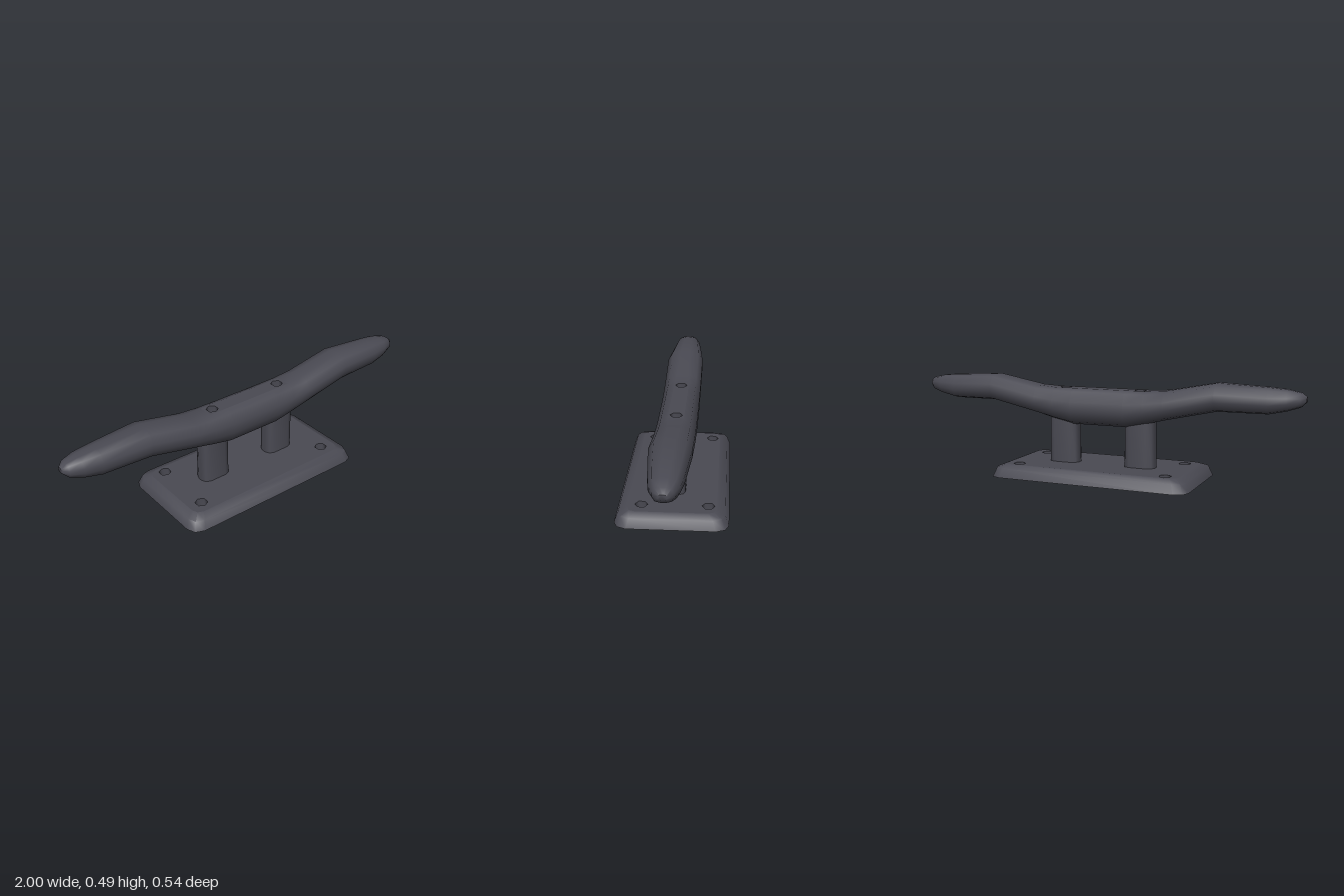
import * as THREE from 'three';
import { toCreasedNormals } from 'three/addons/utils/BufferGeometryUtils.js';

// Skin over closed rings of points; skip(i, j) leaves a quad open
function loft(rings, { closeEnds = false, skip = () => false, crease = 0.6 } = {}) {
  const n = rings[0].length;
  const index = [];
  for (let i = 0; i < rings.length - 1; i++) {
    for (let j = 0; j < n; j++) {
      if (skip(i, j)) continue;
      const k = (j + 1) % n;
      const a = i * n + j, b = i * n + k, c = a + n, d = b + n;
      index.push(a, b, c, b, d, c);
    }
  }
  if (closeEnds) {
    const last = (rings.length - 1) * n;
    for (let j = 1; j < n - 1; j++) {
      index.push(0, j + 1, j, last, last + j, last + j + 1);
    }
  }
  const geometry = new THREE.BufferGeometry();
  geometry.setAttribute('position', new THREE.Float32BufferAttribute(rings.flat(2), 3));
  geometry.setIndex(index);
  return toCreasedNormals(geometry, crease);
}

// Horizontal rounded rectangle, anticlockwise seen from above
function roundedRing(halfX, halfZ, radius, y, steps = 2) {
  const points = [];
  [[1, 1], [1, -1], [-1, -1], [-1, 1]].forEach(([sx, sz], corner) => {
    for (let s = 0; s <= steps; s++) {
      const t = (corner + s / steps) * Math.PI / 2;
      points.push([sx * (halfX - radius) + radius * Math.sin(t), y, sz * (halfZ - radius) + radius * Math.cos(t)]);
    }
  });
  return points;
}

function hexRing(x, z, r, y) {
  return Array.from({ length: 6 }, (_, i) => {
    const t = i * Math.PI / 3;
    return [x + r * Math.sin(t), y, z + r * Math.cos(t)];
  });
}

// Flat horizontal face with holes
function flatFace(ring, holes, up) {
  const flat = (points) => points.map(([x, , z]) => new THREE.Vector2(x, up ? -z : z));
  const shape = new THREE.Shape(flat(ring));
  holes.forEach((h) => shape.holes.push(new THREE.Path(flat(h))));
  return new THREE.ShapeGeometry(shape).rotateX(up ? -Math.PI / 2 : Math.PI / 2).translate(0, ring[0][1], 0);
}

export function createModel() {
  const darkMetal = new THREE.MeshStandardMaterial({ color: 0x4a4a53, side: THREE.DoubleSide });
  darkMetal.name = 'darkMetal';
  const model = new THREE.Group();
  model.name = 'mooringCleat';
  const addGroup = (name) => {
    const group = new THREE.Group();
    group.name = name;
    model.add(group);
    return group;
  };
  const add = (parent, name, geometry) => {
    const mesh = new THREE.Mesh(geometry, darkMetal);
    mesh.name = name;
    parent.add(mesh);
  };

  // Base plate with bevelled rim and four through holes
  const base = addGroup('basePlate');
  const rings = [
    roundedRing(0.514, 0.268, 0.06, 0),
    roundedRing(0.496, 0.25, 0.055, 0.045),
    roundedRing(0.456, 0.21, 0.04, 0.061),
  ];
  const holeSpots = [[-0.385, -0.17], [0.385, -0.17], [-0.385, 0.145], [0.385, 0.145]];
  const holesAt = (y) => holeSpots.map(([x, z]) => hexRing(x, z, 0.031, y));
  add(base, 'plateRim', loft(rings, { crease: 0.9 }));
  add(base, 'plateTop', flatFace(rings[2], holesAt(0.061), true));
  add(base, 'plateBottom', flatFace(rings[0], holesAt(0), false));
  holeSpots.forEach(([x, z]) => {
    // downward order turns the wall inward
    add(base, 'mountingHole', loft([hexRing(x, z, 0.031, 0.061), hexRing(x, z, 0.031, 0)], { crease: 1.2 }));
  });

  // Two posts
  for (const side of [-1, 1]) {
    const post = loft([roundedRing(0.08, 0.046, 0.036, 0.055), roundedRing(0.078, 0.046, 0.036, 0.33)], { crease: 1 });
    add(model, side > 0 ? 'leftPost' : 'rightPost', post.translate(side * 0.203, 0, -0.009));
  }

  // Horn stations: x, bottom, top, half width, half width of the flat top
  const half = [
    [0.14, 0.26, 0.44, 0.095, 0.4],
    [0.24, 0.281, 0.44, 0.095, 0.4],
    [0.34, 0.305, 0.446, 0.095, 0.32],
    [0.59, 0.36, 0.494, 0.095, 0.27],
    [0.83, 0.36, 0.483, 0.075, 0.27],
    [0.915, 0.378, 0.476, 0.064, 0.27],
    [0.975, 0.398, 0.464, 0.043, 0.27],
    [1.0, 0.422, 0.446, 0.018, 0.27],
  ];
  const stations = [...half.map(([x, ...rest]) => [-x, ...rest]).reverse(), ...half];
  const hornZ = -0.007;
  const hornRings = stations.map(([x, low, high, width, flat]) => {
    const quarter = [[flat, 1], [0.75, 0.84], [1, 0.27]];
    const mirrored = quarter.map(([z, y]) => [z, -y]).reverse();
    const right = [...quarter, ...mirrored];
    const left = right.map(([z, y]) => [-z, y]).reverse();
    return [...right, ...left].map(([z, y]) => [x, (low + high) / 2 + y * (high - low) / 2, hornZ + z * width]);
  });
  const horn = addGroup('horn');
  const isTopStrip = (i, j) => j === 11 && Math.abs(stations[i][0] + stations[i + 1][0]) < 0.4;
  add(horn, 'hornBody', loft(hornRings, { closeEnds: true, skip: isTopStrip, crease: 0.9 }));

  // Flat top strip with two bolt pockets
  const strip = [[-0.24, 1], [0.24, 1], [0.24, -1], [-0.24, -1]].map(([x, s]) => [x, 0.44, hornZ + s * 0.038]);
  const pockets = [-0.2, 0.2].map((x) => (y) => hexRing(x, hornZ, 0.03, y));
  add(horn, 'topStrip', flatFace(strip, pockets.map((p) => p(0.44)), true));
  pockets.forEach((p) => {
    add(horn, 'boltPocketWall', loft([p(0.44), p(0.38)], { crease: 1.2 }));
    add(horn, 'boltPocketFloor', flatFace(p(0.38), [], true));
  });

  return model;
}
